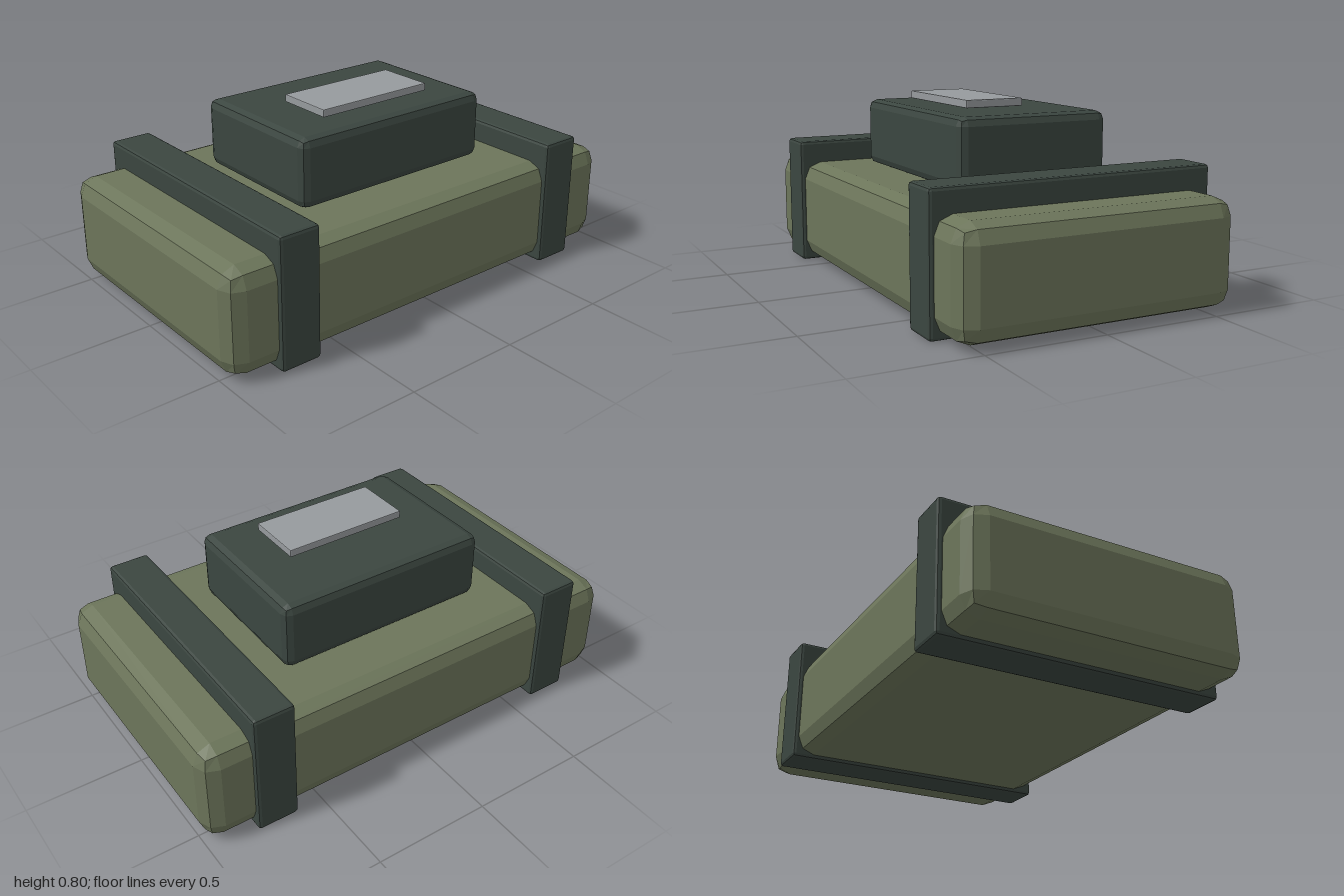
import * as THREE from 'three';
import { RoundedBoxGeometry } from 'three/addons/geometries/RoundedBoxGeometry.js';

function material(name, color) {
  const m = new THREE.MeshStandardMaterial({ color, flatShading: true });
  m.name = name;
  return m;
}

export function createModel() {
  const group = new THREE.Group();
  group.name = 'strappedPack';
  const olive = material('olive canvas', 0x6c755a);
  const darkGreen = material('dark green webbing', 0x3b4640);
  const grey = material('grey metal', 0x969a9d);

  // Box with two-facet bevelled edges, placed by its bottom height
  function addBox(name, mat, [w, h, d], [x, bottom, z], bevel) {
    const mesh = new THREE.Mesh(new RoundedBoxGeometry(w, h, d, 1, bevel), mat);
    mesh.name = name;
    mesh.position.set(x, bottom + h / 2, z);
    group.add(mesh);
  }

  // Main case
  addBox('body', olive, [2, 0.44, 1.184], [0, 0.017, 0], 0.075);

  // Straps wrapped around the case
  for (const side of [1, -1]) {
    addBox(side > 0 ? 'leftStrap' : 'rightStrap', darkGreen,
      [0.18, 0.555, 1.224], [side * 0.703, 0, 0], 0.014);
  }

  // Pouch on top, with a label plate floating just above it
  addBox('topPouch', darkGreen, [0.956, 0.293, 0.666], [0, 0.46, 0], 0.036);
  addBox('labelPlate', grey, [0.55, 0.033, 0.256], [0, 0.767, 0.075], 0.004);

  return group;
}
